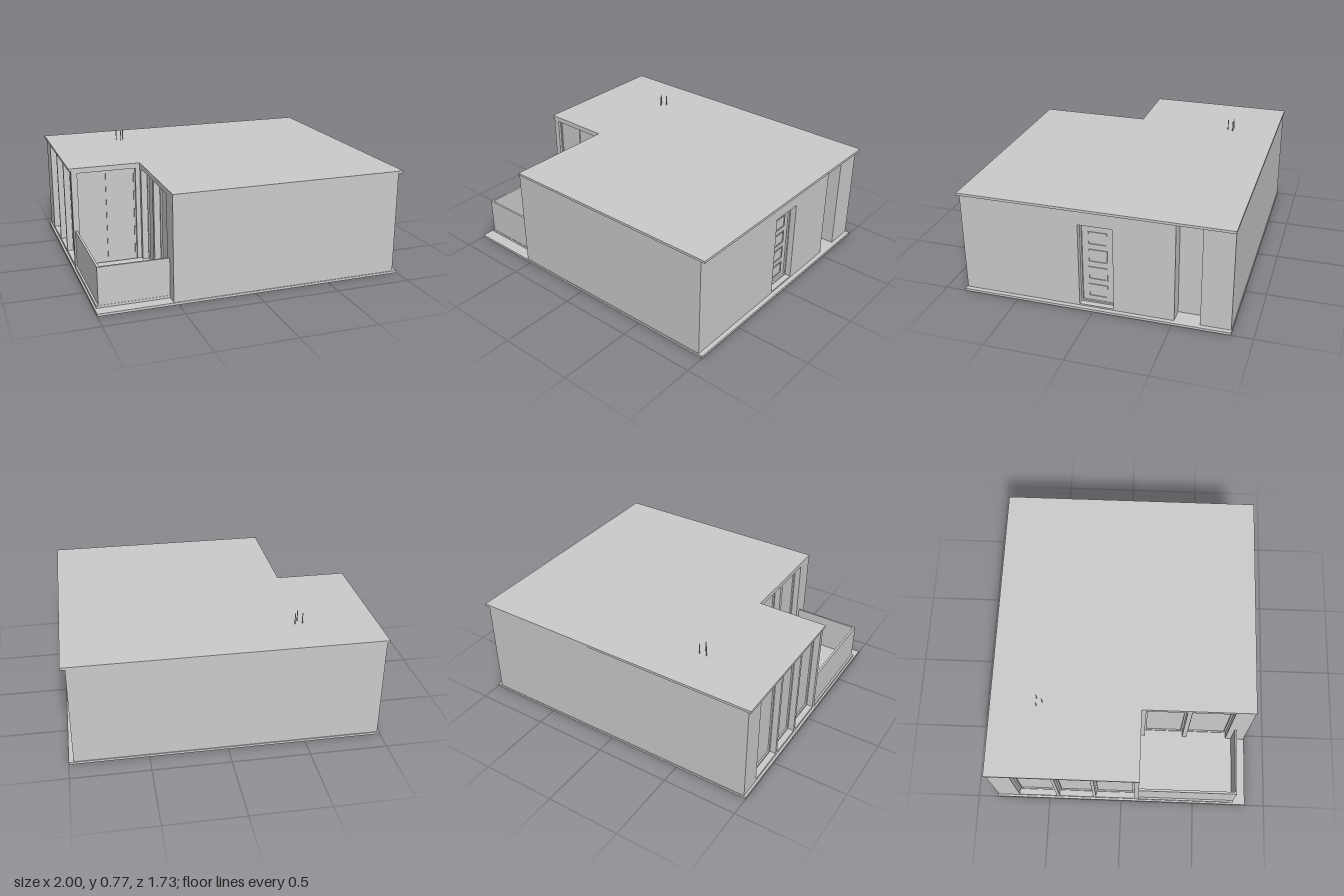
import * as THREE from 'three';

const material = new THREE.MeshStandardMaterial({ color: 0xcccccc, flatShading: true });

const SLAB_TOP = 0.016, WALL_TOP = 0.682, ROOF_TOP = 0.698;

function add(parent, name, geometry) {
  const mesh = new THREE.Mesh(geometry, material);
  mesh.name = name;
  parent.add(mesh);
  return mesh;
}

// Box given by its limits on each axis
function block(parent, name, [x0, x1], [y0, y1], [z0, z1]) {
  const g = new THREE.BoxGeometry(x1 - x0, y1 - y0, z1 - z0);
  g.translate((x0 + x1) / 2, (y0 + y1) / 2, (z0 + z1) / 2);
  return add(parent, name, g);
}

// Upright prism over a floor plan of [x, z] corners
function prism(parent, name, plan, y0, y1) {
  const shape = new THREE.Shape(plan.map(([x, z]) => new THREE.Vector2(x, -z)));
  const g = new THREE.ExtrudeGeometry(shape, { depth: y1 - y0, bevelEnabled: false });
  g.rotateX(-Math.PI / 2);
  g.translate(0, y0, 0);
  return add(parent, name, g);
}

// Rectangular frame in the plane x = face, standing out by `out`
function frame(parent, name, face, out, [z0, z1], [y0, y1], w) {
  const group = new THREE.Group();
  group.name = name;
  parent.add(group);
  const xs = [Math.min(face, face + out), Math.max(face, face + out)];
  block(group, 'stile', xs, [y0, y1], [z0, z0 + w]);
  block(group, 'stile', xs, [y0, y1], [z1 - w, z1]);
  block(group, 'rail', xs, [y0, y0 + w], [z0 + w, z1 - w]);
  block(group, 'rail', xs, [y1 - w, y1], [z0 + w, z1 - w]);
  return group;
}

export function createModel() {
  const house = new THREE.Group();
  house.name = 'house';

  const L = 0.97, R = -0.985, F = 0.86, B = -0.86; // outer wall planes
  const NX = -0.53, NZ = 0.12;                     // inner corner of the terrace
  const deep = 0.05;                               // window recess
  const sideBays = [[-0.71, -0.45], [-0.43, -0.195], [-0.175, 0.09]];
  const terraceBays = [[0.15, 0.42], [0.45, 0.73]];
  const rearBay = [-0.945, -0.56];
  const door = [-0.125, 0.095], doorTop = 0.58;
  const niche = [-0.67, -0.51];

  // Ground slab
  block(house, 'groundSlab', [-1, 1], [0, SLAB_TOP], [-0.865, 0.865]);

  // Walls: one floor plan with every recess cut into it
  const plan = [[L, F], [L, door[1]], [L - deep, door[1]], [L - deep, door[0]], [L, door[0]],
    [L, niche[1]], [L - 0.1, niche[1]], [L - 0.1, niche[0]], [L, niche[0]], [L, B], [R, B]];
  for (const [a, b] of sideBays) plan.push([R, a], [R + deep, a], [R + deep, b], [R, b]);
  plan.push([R, NZ], [rearBay[0], NZ], [rearBay[0], NZ - 0.025], [rearBay[1], NZ - 0.025], [rearBay[1], NZ], [NX, NZ]);
  for (const [a, b] of terraceBays) plan.push([NX, a], [NX + deep, a], [NX + deep, b], [NX, b]);
  plan.push([NX, F]);
  prism(house, 'walls', plan, SLAB_TOP, WALL_TOP);

  // Roof slab
  prism(house, 'roof', [[-1, -0.865], [1, -0.865], [1, 0.865], [NX, 0.865], [NX, NZ], [-1, NZ]], WALL_TOP, ROOF_TOP);

  // Windows: sill, head and frame in each recess
  function sideWindow(face, bay) {
    const w = new THREE.Group();
    w.name = 'window';
    house.add(w);
    block(w, 'sill', [face, face + deep], [SLAB_TOP, 0.032], bay);
    block(w, 'head', [face, face + deep], [0.664, WALL_TOP], bay);
    frame(w, 'windowFrame', face + deep, -0.01, bay, [0.032, 0.664], 0.012);
  }
  sideBays.forEach((bay) => sideWindow(R, bay));
  terraceBays.forEach((bay) => sideWindow(NX, bay));

  // Sliding door at the back of the terrace
  const slider = new THREE.Group();
  slider.name = 'slidingDoor';
  house.add(slider);
  const [s0, s1] = rearBay, mid = (s0 + s1) / 2;
  block(slider, 'head', rearBay, [0.664, WALL_TOP], [NZ - 0.025, NZ]);
  for (const x of [s0, mid - 0.005, s1 - 0.01])
    block(slider, 'stile', [x, x + 0.01], [0.03, 0.664], [NZ - 0.025, NZ - 0.018]);

  // Entrance door with frame and four panels
  const entrance = new THREE.Group();
  entrance.name = 'entranceDoor';
  house.add(entrance);
  block(entrance, 'lintel', [L - deep, L], [doorTop, WALL_TOP], door);
  block(entrance, 'threshold', [L - deep, L], [SLAB_TOP, 0.026], door);
  frame(entrance, 'doorFrame', L - deep, 0.012, door, [0.026, doorTop], 0.01);
  for (let i = 0; i < 4; i++) {
    const y = 0.065 + i * 0.122;
    frame(entrance, 'doorPanel', L - deep, 0.005, [-0.075, 0.048], [y, y + 0.088], 0.006);
  }

  // Terrace deck and low wall
  block(house, 'terraceDeck', [-0.988, NX], [SLAB_TOP, 0.032], [NZ, 0.785]);
  block(house, 'terraceSideWall', [-0.975, -0.96], [0.032, 0.275], [NZ, 0.783]);
  block(house, 'terraceFrontWall', [-0.96, NX], [0.032, 0.275], [0.77, 0.783]);

  // Thin roof pipes
  for (const [x, z] of [[-0.525, -0.562], [-0.5, -0.525], [-0.477, -0.562]]) {
    const pipe = add(house, 'roofPipe', new THREE.CylinderGeometry(0.003, 0.003, 0.075, 8));
    pipe.position.set(x, ROOF_TOP + 0.0345, z);
  }

  return house;
}
